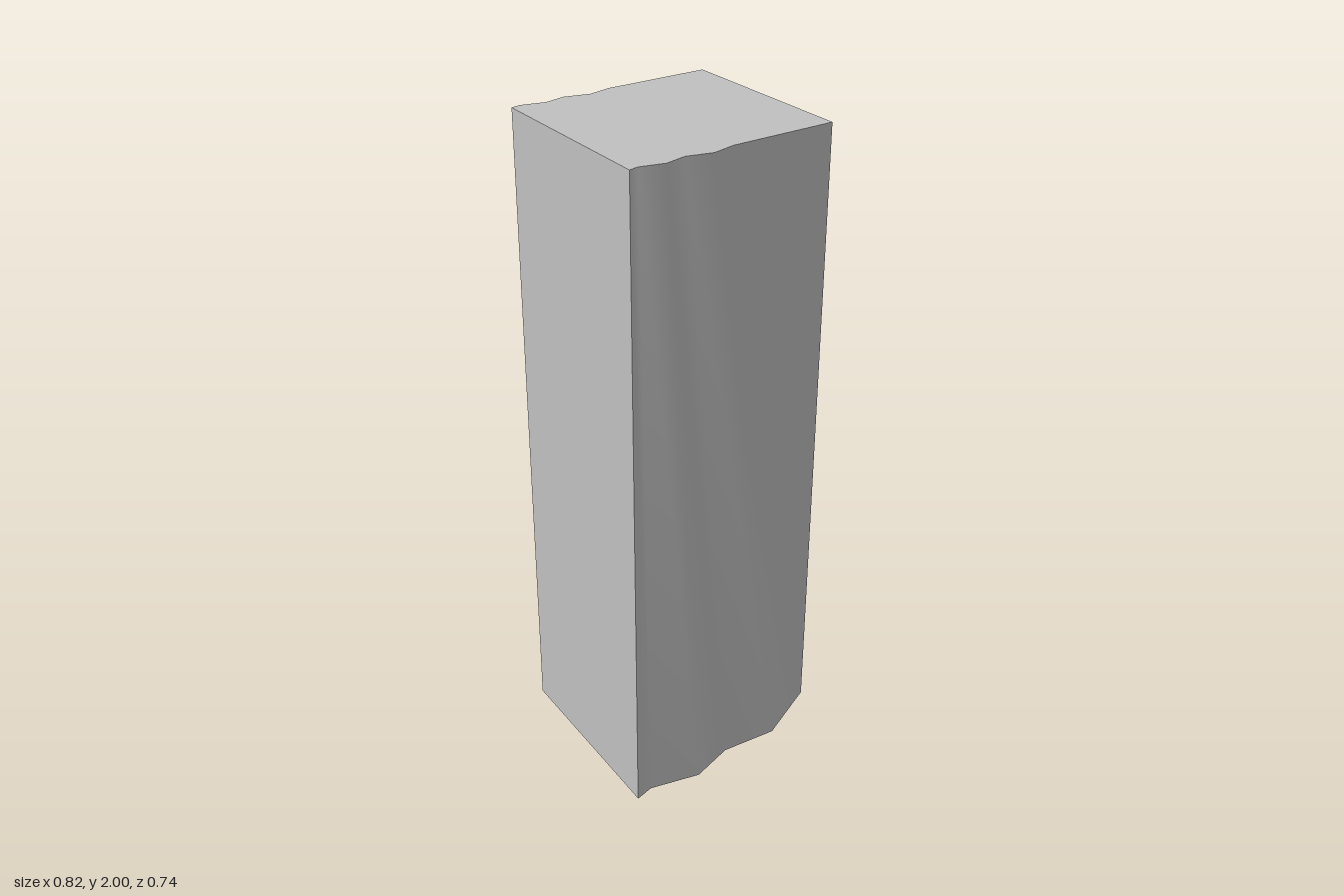
import * as THREE from 'three';

// One wavy long edge of the block, at its top and bottom ends: [x, y, z]
const TOP = [[-0.408, 2, 0.221], [-0.378, 2, 0.221], [-0.31, 2, 0.256], [-0.242, 2, 0.256],
  [-0.172, 2, 0.293], [-0.095, 2, 0.293], [0.228, 2, 0.369]];
const BOTTOM = [[-0.408, 0, 0.221], [-0.348, 0, 0.221], [-0.205, 0, 0.295], [-0.073, 0.012, 0.295],
  [0.075, 0.035, 0.369], [0.228, 0.1, 0.369], [0.228, 0.1, 0.369]];

// The back repeats the front, shifted across the block
const toBack = (row) => row.map(([x, y, z]) => [x + 0.181, y, z - 0.59]);

// Smooth surface between two rows of points
function strip(a, b) {
  const n = a.length;
  const index = [];
  for (let i = 0; i < n - 1; i++) {
    if (a[i].some((v, k) => v !== a[i + 1][k])) index.push(i, i + 1, n + i);
    if (b[i].some((v, k) => v !== b[i + 1][k])) index.push(i + 1, n + i + 1, n + i);
  }
  const g = new THREE.BufferGeometry();
  g.setAttribute('position', new THREE.Float32BufferAttribute([...a, ...b].flat(), 3));
  g.setIndex(index);
  g.computeVertexNormals();
  return g;
}

export function createModel() {
  const group = new THREE.Group();
  group.name = 'stoneBlock';
  const stone = new THREE.MeshStandardMaterial({ color: 0xc0c0c0 });
  stone.name = 'grey stone';

  const add = (name, a, b) => {
    const mesh = new THREE.Mesh(strip(a, b), stone);
    mesh.name = name;
    group.add(mesh);
  };

  // The last crease runs down into the lower corner, so the corner is shared
  const ft = TOP, fb = BOTTOM, bt = toBack(TOP), bb = toBack(BOTTOM);
  const end = TOP.length - 1;

  // Wavy faces
  add('frontFace', fb, ft);
  add('backFace', bt, bb);

  // Flat top and curved underside
  add('topFace', ft, bt);
  add('underside', bb.slice(0, end), fb.slice(0, end));

  // Flat sides
  add('leftSide', [fb[end], bb[end]], [ft[end], bt[end]]);
  add('rightSide', [bb[0], fb[0]], [bt[0], ft[0]]);
  return group;
}
